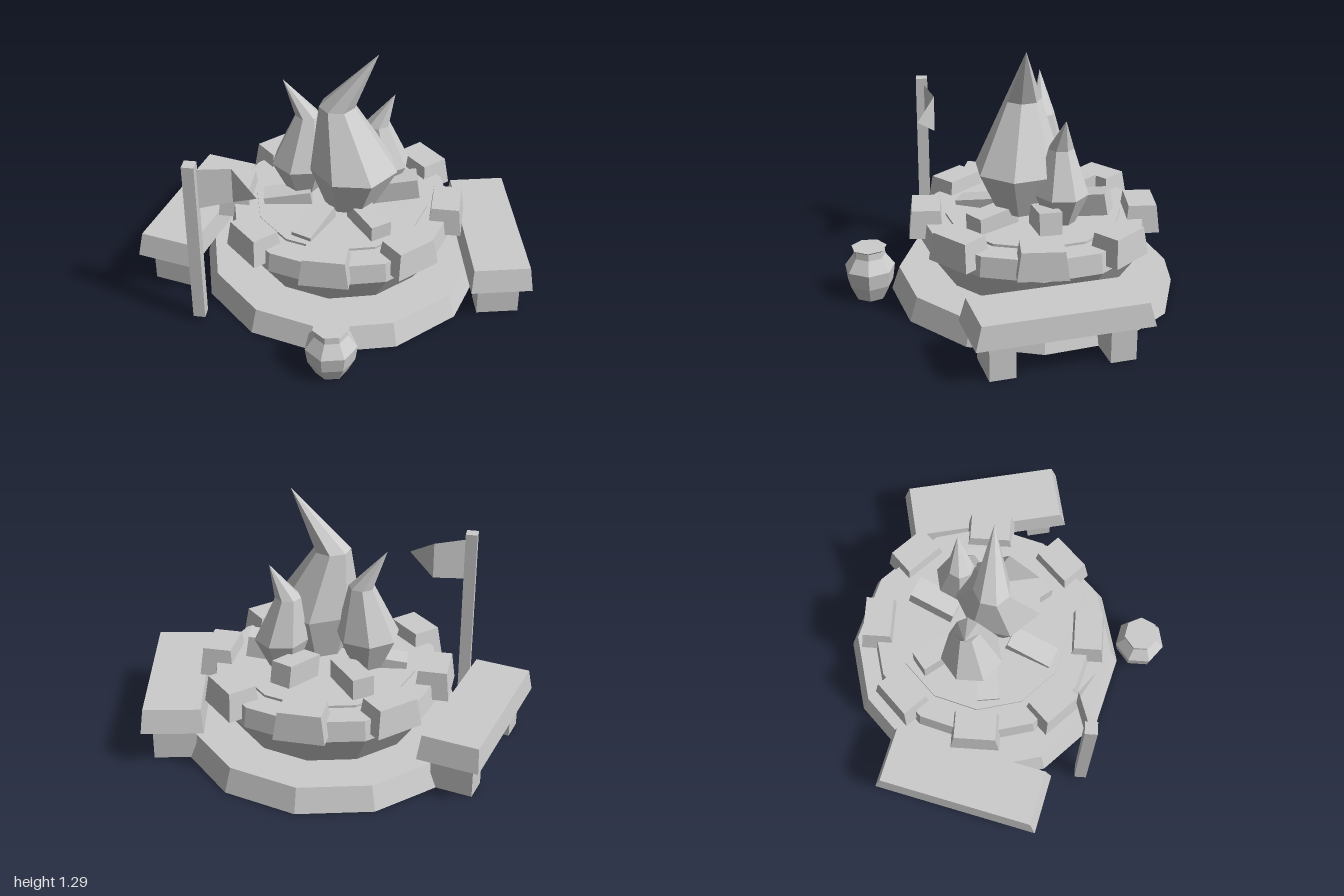
import * as THREE from 'three';

const stone = new THREE.MeshStandardMaterial({ color: 0xcccccc, flatShading: true, side: THREE.DoubleSide });
stone.name = 'grey';

// Drops the flat underside of a geometry, leaving a hollow shell
function openBottom(geometry) {
  const src = geometry.index ? geometry.toNonIndexed() : geometry;
  src.computeBoundingBox();
  const limit = src.boundingBox.min.y + 1e-4;
  const p = src.attributes.position, kept = [];
  for (let i = 0; i < p.count; i += 3) {
    if (Math.max(p.getY(i), p.getY(i + 1), p.getY(i + 2)) < limit) continue;
    for (let k = i; k < i + 3; k++) kept.push(p.getX(k), p.getY(k), p.getZ(k));
  }
  const geo = new THREE.BufferGeometry();
  geo.setAttribute('position', new THREE.Float32BufferAttribute(kept, 3));
  geo.computeVertexNormals();
  return geo;
}

function add(parent, name, geometry, x = 0, y = 0, z = 0) {
  const mesh = new THREE.Mesh(openBottom(geometry), stone);
  mesh.name = name;
  mesh.position.set(x, y, z);
  parent.add(mesh);
  return mesh;
}

// Box standing on y = 0 whose top is scaled down
function taperedBox(w, h, d, topW, topD) {
  const geo = new THREE.BoxGeometry(w, h, d).translate(0, h / 2, 0);
  const p = geo.attributes.position;
  for (let i = 0; i < p.count; i++) {
    if (p.getY(i) > h / 2) p.setXYZ(i, p.getX(i) * topW / w, h, p.getZ(i) * topD / d);
  }
  return geo;
}

// Faceted skin through circular rings given as [x, y, z, radius]
function ringStack(rings, sides, startDegrees) {
  const pos = [], idx = [];
  for (const [x, y, z, r] of rings) {
    for (let s = 0; s < sides; s++) {
      const a = THREE.MathUtils.degToRad(startDegrees + s / sides * 360);
      pos.push(x + r * Math.sin(a), y, z + r * Math.cos(a));
    }
  }
  for (let i = 0; i < rings.length - 1; i++) {
    for (let s = 0; s < sides; s++) {
      const a = i * sides + s, b = i * sides + (s + 1) % sides;
      idx.push(a, b, b + sides, a, b + sides, a + sides);
    }
  }
  const geo = new THREE.BufferGeometry();
  geo.setAttribute('position', new THREE.Float32BufferAttribute(pos, 3));
  geo.setIndex(idx);
  return geo;
}

export function createModel() {
  const model = new THREE.Group();
  model.name = 'campfire';

  // Fire pit: plinth, flaring bowl, rim and ember bed
  const pit = new THREE.Group();
  pit.name = 'firePit';
  pit.position.z = -0.117;
  model.add(pit);
  add(pit, 'plinth', new THREE.CylinderGeometry(0.68, 0.72, 0.12, 12), 0, 0.06, 0);
  add(pit, 'bowl', new THREE.CylinderGeometry(0.58, 0.455, 0.18, 12), 0, 0.21, 0);
  add(pit, 'rim', new THREE.CylinderGeometry(0.565, 0.58, 0.1, 12), 0, 0.35, 0);
  add(pit, 'emberBed', new THREE.CylinderGeometry(0.44, 0.44, 0.015, 12), 0, 0.405, 0);

  // Ring of stones on the rim
  for (let i = 0; i < 8; i++) {
    const a = i * Math.PI / 4;
    const block = add(pit, 'rimStone', taperedBox(0.245, 0.14, 0.17, 0.205, 0.14),
      0.537 * Math.sin(a), 0.328, 0.537 * Math.cos(a));
    block.rotation.y = a;
  }

  // Logs radiating from the fire, each pitched along its length
  for (let i = 0; i < 6; i++) {
    const a = THREE.MathUtils.degToRad(38 + i * 60);
    const slope = 0.13 * Math.sin(a) - 0.14 * Math.cos(a);
    const log = add(pit, 'log', new THREE.BoxGeometry(0.11, 0.11, 0.24),
      0.27 * Math.sin(a), 0.45 + 0.27 * slope, 0.27 * Math.cos(a));
    log.rotation.set(-slope, a, 0, 'YXZ');
  }

  // Flames: bulb that narrows and bends to a point
  const flames = [
    ['mainFlame', 30, [[0.055, 0.46, -0.05, 0.13], [0.075, 0.68, -0.035, 0.22],
      [-0.015, 1.0, -0.065, 0.09], [0.185, 1.295, -0.065, 0]]],
    ['leftFlame', -64, [[-0.205, 0.45, -0.155, 0.085], [-0.21, 0.61, -0.155, 0.155],
      [-0.18, 0.87, -0.175, 0.063], [-0.3, 1.06, -0.17, 0]]],
    ['rightFlame', 64, [[0.19, 0.44, -0.235, 0.072], [0.2, 0.59, -0.238, 0.132],
      [0.165, 0.81, -0.235, 0.064], [0.25, 0.975, -0.25, 0]]],
  ];
  for (const [name, start, rings] of flames) add(model, name, ringStack(rings, 7, start));

  // Benches either side, toed in towards the back
  for (const side of [-1, 1]) {
    const bench = new THREE.Group();
    bench.name = side < 0 ? 'rightBench' : 'leftBench';
    bench.position.set(side * 0.758, 0, -0.168);
    bench.rotation.y = side * 0.222;
    model.add(bench);
    add(bench, 'seat', taperedBox(0.305, 0.117, 0.845, 0.28, 0.785), 0, 0.185, 0);
    for (const z of [-0.287, 0.287]) {
      add(bench, 'benchLeg', new THREE.BoxGeometry(0.21, 0.19, 0.125), 0, 0.095, z);
    }
  }

  // Banner post with a folded pennant
  add(model, 'post', new THREE.BoxGeometry(0.06, 0.895, 0.06), -0.633, 0.4775, 0.432);
  const pennant = new THREE.BufferGeometry();
  pennant.setAttribute('position', new THREE.Float32BufferAttribute([
    -0.61, 0.67, 0.422, -0.61, 0.89, 0.422,
    -0.45, 0.685, 0.368, -0.45, 0.875, 0.368,
    -0.315, 0.78, 0.455], 3));
  pennant.setIndex([0, 2, 3, 0, 3, 1, 2, 4, 3]);
  add(model, 'pennant', pennant);

  // Clay pot
  const profile = [[0.078, 0], [0.117, 0.08], [0.128, 0.16], [0.082, 0.225],
    [0.078, 0.258], [0.09, 0.268], [0, 0.268]].map(([r, y]) => new THREE.Vector2(r, y));
  add(model, 'pot', new THREE.LatheGeometry(profile, 7, Math.PI / 2), 0.068, 0, 0.708);

  return model;
}
